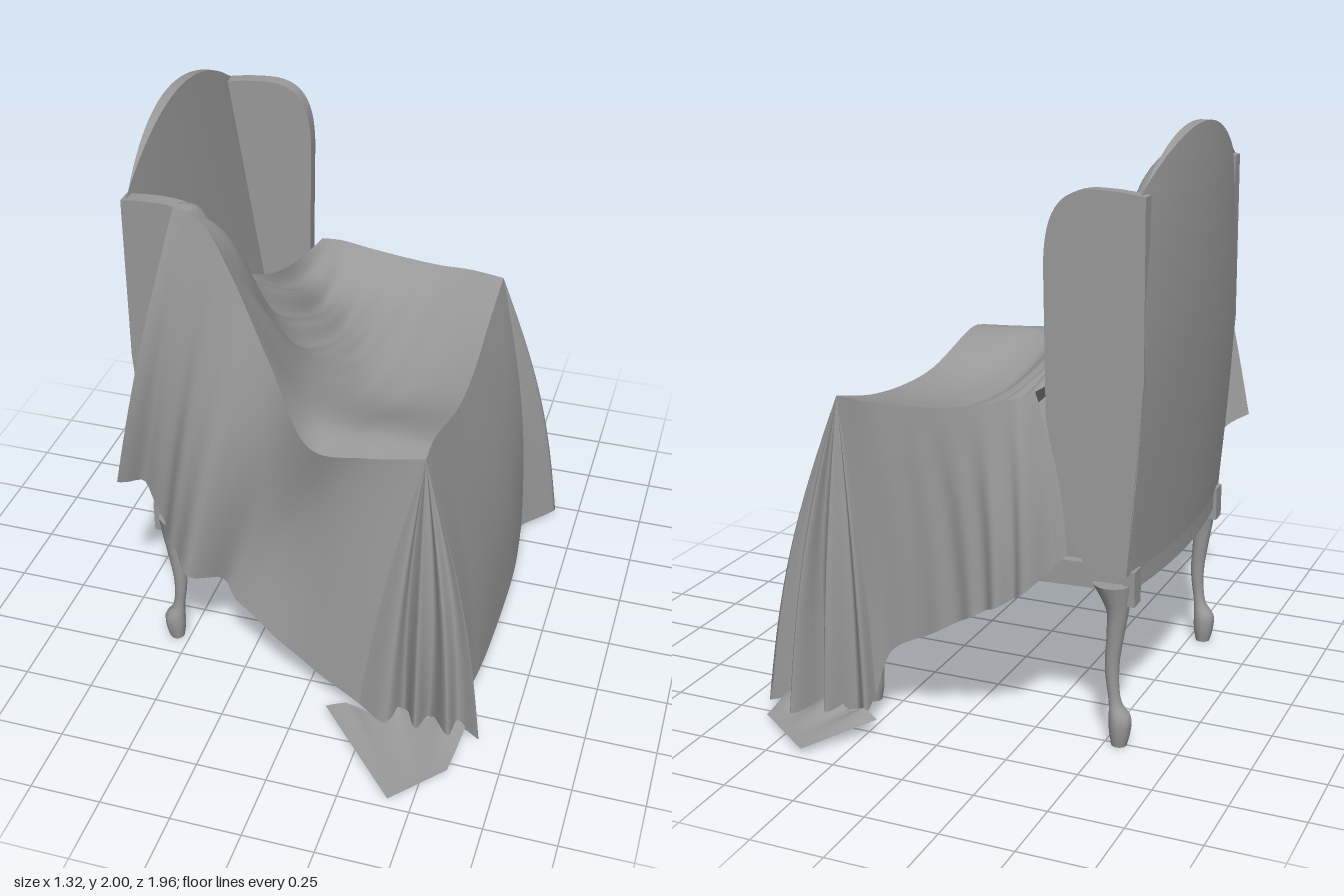
import * as THREE from 'three';
import { toCreasedNormals } from 'three/addons/utils/BufferGeometryUtils.js';

const wood = new THREE.MeshStandardMaterial({ color: 0x999999 });
const fabric = new THREE.MeshStandardMaterial({ color: 0x999999, side: THREE.DoubleSide });
const MID = -0.05; // the chair's own centre line in z
const curve = pts => new THREE.CatmullRomCurve3(pts.map(p => new THREE.Vector3(...p)));

function add(parent, name, geometry, material = wood) {
  const m = new THREE.Mesh(geometry, material);
  m.name = name;
  parent.add(m);
  return m;
}

// Smooth sheet over (nu + 1) x (nv + 1) points
function sheet(nu, nv, point) {
  const pos = [], idx = [];
  for (let i = 0; i <= nu; i++) for (let j = 0; j <= nv; j++) {
    pos.push(...point(i, j).toArray());
    if (i < nu && j < nv) {
      const a = i * (nv + 1) + j, b = a + nv + 1;
      idx.push(a, a + 1, b, b, a + 1, b + 1);
    }
  }
  const g = new THREE.BufferGeometry();
  g.setAttribute('position', new THREE.Float32BufferAttribute(pos, 3));
  g.setIndex(idx);
  g.computeVertexNormals();
  return g;
}

// Move every vertex of a geometry by a rule
function warp(g, rule) {
  const p = g.attributes.position, v = new THREE.Vector3();
  for (let i = 0; i < p.count; i++) {
    v.fromBufferAttribute(p, i);
    rule(v);
    p.setXYZ(i, v.x, v.y, v.z);
  }
  return toCreasedNormals(g, 0.6);
}

function box(parent, name, x0, x1, y0, y1, z0, z1) {
  const m = add(parent, name, new THREE.BoxGeometry(x1 - x0, y1 - y0, z1 - z0));
  m.position.set((x0 + x1) / 2, (y0 + y1) / 2, (z0 + z1) / 2);
}

// Cabriole leg: a cylinder following [x offset, y, radius] stations
function legGeometry() {
  const path = curve([[0.01, 0, 0.026], [0.008, 0.05, 0.036], [0.008, 0.1, 0.037], [0.025, 0.15, 0.022],
    [0.038, 0.27, 0.024], [0.027, 0.4, 0.03], [0.022, 0.48, 0.038], [0.04, 0.57, 0.065]]);
  return warp(new THREE.CylinderGeometry(1, 1, 1, 14, 28), v => {
    const s = path.getPoint(v.y + 0.5);
    v.set(s.x + v.x * s.z, s.y, v.z * s.z);
  });
}

function createChair() {
  const chair = new THREE.Group();
  chair.name = 'chair';

  // Bowed backrest with an arched top
  add(chair, 'backrest', warp(new THREE.BoxGeometry(1, 1, 1, 1, 16, 28), v => {
    const s = v.z * 2, h = v.y + 0.5;
    const y = 0.61 + h * (1.39 - 0.17 * s * s);
    const back = -0.58 - 0.045 * Math.sin(Math.min(1, h * 1.5) * Math.PI / 2) - 0.04 * (1 - s * s) + 0.025 * h ** 6;
    v.set(v.x > 0 ? -0.605 + 0.18 * (1 - h) : back, y, MID + s * 0.49);
  }));

  // Wings reaching forward and slightly outward on both sides
  const w = new THREE.Shape();
  w.moveTo(-0.58, 0.61);
  w.lineTo(-0.46, 0.61);
  w.lineTo(-0.37, 0.75);
  w.lineTo(-0.31, 1.12);
  w.lineTo(-0.3, 1.6);
  w.bezierCurveTo(-0.3, 1.76, -0.34, 1.845, -0.46, 1.845);
  w.quadraticCurveTo(-0.54, 1.845, -0.62, 1.83);
  w.lineTo(-0.625, 1.25);
  for (const side of [-1, 1]) {
    const g = new THREE.ExtrudeGeometry(w, { depth: 0.05, bevelEnabled: false, curveSegments: 14 });
    add(chair, side < 0 ? 'rightWing' : 'leftWing', warp(g, v => {
      v.z += MID - 0.025 + side * (0.467 + 0.08 * (v.x + 0.62));
    }));
  }

  // Open seat rail with a bowed back
  const rail = new THREE.Shape();
  rail.moveTo(-0.58, 0.46);
  rail.quadraticCurveTo(-0.66, 0, -0.58, -0.46);
  rail.lineTo(0.3, -0.52);
  rail.quadraticCurveTo(0.4, -0.5, 0.4, -0.4);
  rail.lineTo(0.4, 0.4);
  rail.quadraticCurveTo(0.4, 0.5, 0.3, 0.52);
  const hole = new THREE.Path();
  hole.moveTo(-0.48, 0.37);
  hole.lineTo(0.28, 0.42);
  hole.lineTo(0.28, -0.42);
  hole.lineTo(-0.48, -0.37);
  rail.holes.push(hole);
  const railGeo = toCreasedNormals(new THREE.ExtrudeGeometry(rail, { depth: 0.085, bevelEnabled: false, curveSegments: 12 }), 0.6);
  const railMesh = add(chair, 'seatRail', railGeo);
  railMesh.rotation.x = -Math.PI / 2;
  railMesh.position.set(0, 0.545, MID);

  box(chair, 'seat', -0.5, 0.36, 0.6, 0.95, -0.49, 0.39);
  for (const side of [-1, 1]) {
    const z = MID + side * 0.49;
    box(chair, 'arm', -0.25, 0.34, 0.6, 1.04, z - 0.04, z + 0.04);
    const back = add(chair, 'backLeg', legGeometry());
    back.position.set(-0.56, 0, MID + side * 0.455);
    const front = add(chair, 'frontLeg', legGeometry());
    front.position.set(0.36, 0, MID + side * 0.47);
    front.rotation.y = Math.PI;
    box(chair, 'railBlock', -0.6, -0.56, 0.5, 0.62, MID + side * 0.44 - 0.03, MID + side * 0.44 + 0.03);
  }
  return chair;
}

function createCloth() {
  const cloth = new THREE.Group();
  cloth.name = 'drapedCloth';

  // Cross-sections from the back edge to the front edge, each running from +z to -z
  const rows = [
    [[-.43, 1.85, .475], [-.43, 1.84, .4], [-.41, 1.52, .17], [-.33, 1.32, -.08], [-.31, 1.21, -.37], [-.28, 1.2, -.58]],
    [[-.34, 1.82, .48], [-.32, 1.77, .39], [-.27, 1.36, .15], [-.21, 1.19, -.1], [-.21, 1.11, -.35], [-.22, 1.18, -.62]],
    [[-.24, 1.66, .5], [-.2, 1.5, .37], [-.15, 1.2, .14], [-.1, 1.1, -.1], [-.1, 1.07, -.38], [-.1, 1.15, -.64]],
    [[-.1, 1.38, .55], [-.06, 1.23, .4], [-.03, 1.1, .12], [0, 1.04, -.1], [.02, 1.05, -.4], [.04, 1.13, -.645]],
    [[.05, 1.12, .61], [.07, 1.13, .46], [.1, 1.02, .12], [.12, 1, -.1], [.14, 1.04, -.4], [.16, 1.12, -.645]],
    [[.22, 1.1, .58], [.24, 1.12, .44], [.27, 1.01, .12], [.28, 1, -.1], [.28, 1.05, -.4], [.28, 1.12, -.645]],
    [[.41, 1.1, .53], [.41, 1.11, .44], [.42, 1.03, .12], [.42, 1.025, -.1], [.41, 1.06, -.38], [.41, 1.12, -.62]],
  ].map(curve);
  const NU = 56, NV = 40, NF = 40;
  const columns = Array.from({ length: NV + 1 }, (_, j) => curve(rows.map(r => r.getPoint(j / NV))));
  // Gathers run diagonally across the lap and fade towards the front
  const top = (i, j) => {
    const u = i / NU, v = j / NV, p = columns[j].getPoint(u);
    const fold = Math.sin(u * 40 - v * 5) * (1 - u) ** 2 * Math.sin(Math.PI * v) ** 1.5;
    p.y += 0.028 * fold;
    p.x += 0.014 * fold;
    return p;
  };
  add(cloth, 'clothTop', sheet(NU, NV, top), fabric);

  // Hanging skirt: rim and hem go round from the +z flap, past the front, to the -z side
  const rim = [], hem = [];
  const run = (n, rimAt, pts, ripple = () => 0) => {
    const c = curve(pts);
    for (let i = 0; i <= n; i++) {
      const h = c.getPoint(i / n);
      h.z += ripple(i / n);
      rim.push(rimAt(i));
      hem.push(h);
    }
  };
  run(NU, i => top(i, 0), [[-.64, .84, .61], [-.57, .8, .54], [-.5, .65, .56], [-.44, .61, .63], [-.36, .55, .69],
    [-.29, .5, .6], [-.24, .38, .57], [-.1, .28, .6], [.06, .17, .62], [.22, .07, .63]],
  u => 0.012 * Math.sin(u * 50) * (1 - u) * Math.min(1, u * 10));
  run(NF, () => top(NU, 0), [[.22, .07, .63], [.33, .04, .67], [.37, .04, .58], [.43, .03, .66], [.46, .03, .58],
    [.55, .02, .67], [.57, .03, .6], [.65, .02, .63], [.545, .02, .52]]);
  run(NV, j => top(NU, j), [[.545, .02, .52], [.575, .02, .3], [.585, .02, 0], [.58, .02, -.3], [.55, .02, -.57]]);
  run(NF, () => top(NU, NV), [[.55, .02, -.57], [.66, .02, -.71], [.57, .03, -.67], [.53, .03, -.79], [.45, .03, -.66],
    [.41, .03, -.77], [.34, .03, -.67], [.27, .05, -.74], [.26, .1, -.68]]);
  run(NU, i => top(NU - i, NV), [[.26, .1, -.68], [.2, .27, -.67], [.05, .36, -.68], [-.08, .44, -.69], [-.18, .5, -.71],
    [-.27, .55, -.69], [-.4, .68, -.6]], u => -0.032 * Math.sin(u * 38) * u * u * Math.min(1, (1 - u) * 10));

  // The skirt swells below the wing and the front edge, and tucks in under the +z arm
  const dir = new THREE.Vector3();
  add(cloth, 'clothSkirt', sheet(rim.length - 1, 16, (i, j) => {
    const t = j / 16, bulge = Math.sin(Math.PI * t);
    const high = THREE.MathUtils.clamp((rim[i].y - 1.15) / 0.7, 0, 1);
    const tuck = rim[i].z > 0.5 ? Math.exp(-(((rim[i].x - 0.08) / 0.14) ** 2)) : 0;
    dir.subVectors(hem[i], rim[i]).setY(0).normalize();
    const p = rim[i].clone().lerp(hem[i], t);
    p.addScaledVector(dir, (0.022 + 0.02 * Math.max(0, dir.x)) * (1 - high) * (1 - tuck) * bulge);
    p.z += (0.05 * high - 0.05 * tuck) * bulge;
    return p;
  }), fabric);

  // Corners of the cloth lying on the floor, slightly rumpled towards the chair
  const corners = [
    [[.1, .035, .64], [.42, .02, .98], [.6, .03, .58], [.58, .02, .8]],
    [[.22, .05, -.75], [.38, .02, -.98], [.62, .03, -.64], [.61, .02, -.81]],
  ];
  for (const quad of corners) {
    const [a, b, c, d] = quad.map(p => new THREE.Vector3(...p));
    add(cloth, 'floorCorner', sheet(14, 10, (i, j) => {
      const u = i / 14, v = j / 10;
      const p = a.clone().lerp(b, v).lerp(c.clone().lerp(d, v), u);
      p.y += 0.022 * (1 - v) ** 2 * (1 + Math.sin(u * 16)) * Math.min(1, u * 5);
      return p;
    }), fabric);
  }
  return cloth;
}

export function createModel() {
  const model = new THREE.Group();
  model.name = 'drapedWingChair';
  model.add(createChair(), createCloth());
  return model;
}
